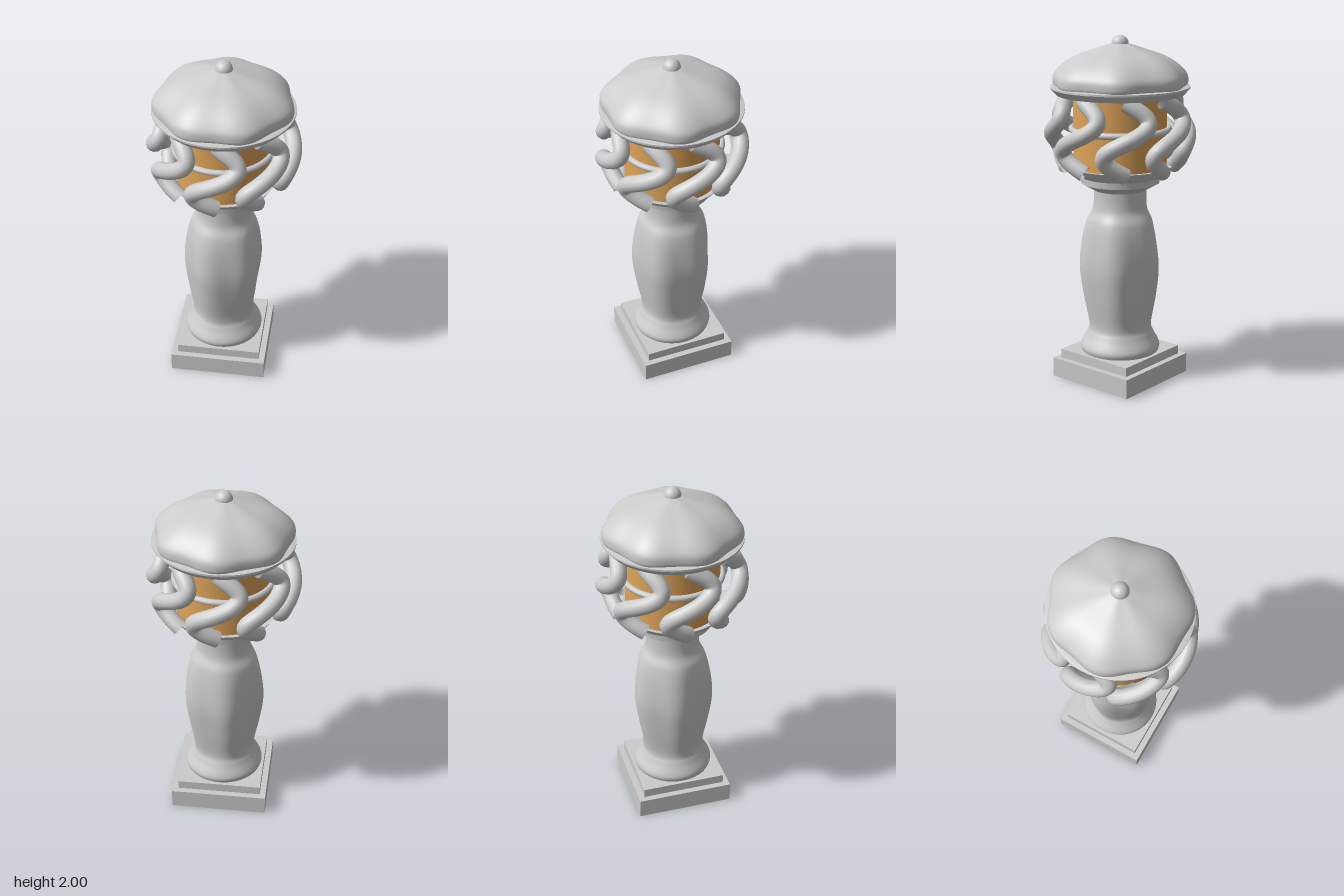
import * as THREE from 'three';
import { mergeVertices, toCreasedNormals } from 'three/addons/utils/BufferGeometryUtils.js';

const stone = new THREE.MeshStandardMaterial({ color: 0xcccccc, side: THREE.DoubleSide });
const glow = new THREE.MeshStandardMaterial({ color: 0xe0a55a });

function add(group, name, geometry, y = 0, material = stone) {
  const mesh = new THREE.Mesh(geometry, material);
  mesh.name = name;
  mesh.position.y = y;
  group.add(mesh);
  return mesh;
}

const points = (list) => list.map(([r, y]) => new THREE.Vector2(r, y));

// Sharp-edged turned part
const turned = (list) => toCreasedNormals(new THREE.LatheGeometry(points(list), 64), 0.5);

// Smooth turned part whose radius is scaled by lobe(angle, y)
function lobed(list, steps, lobe) {
  const profile = new THREE.SplineCurve(points(list)).getPoints(steps);
  let g = new THREE.LatheGeometry(profile, 112);
  const p = g.attributes.position;
  for (let i = 0; i < p.count; i++) {
    const x = p.getX(i), y = p.getY(i), z = p.getZ(i);
    const k = lobe(Math.atan2(x, z), y);
    p.setXYZ(i, x * k, y, z * k);
  }
  g.deleteAttribute('uv');
  g.deleteAttribute('normal');
  g = mergeVertices(g, 1e-5);
  g.computeVertexNormals();
  return g;
}

// Wavy bar that bulges outwards halfway down
class BarCurve extends THREE.Curve {
  getPoint(t, target = new THREE.Vector3()) {
    const a = 0.35 * Math.sin(2 * Math.PI * t);
    const r = 0.305 + 0.08 * Math.sin(Math.PI * t);
    return target.set(r * Math.sin(a), 1.66 - 0.4 * t, r * Math.cos(a));
  }
}

export function createModel() {
  const model = new THREE.Group();
  model.name = 'pedestalLantern';

  // Square plinth
  add(model, 'plinthLower', new THREE.BoxGeometry(0.56, 0.113, 0.56), 0.0565);
  add(model, 'plinthUpper', new THREE.BoxGeometry(0.49, 0.052, 0.49), 0.139);

  // Swelling column with five soft ridges
  add(model, 'column', lobed([
    [0.225, 0.165], [0.23, 0.2], [0.195, 0.27], [0.18, 0.33], [0.205, 0.5],
    [0.223, 0.67], [0.213, 0.82], [0.19, 0.94], [0.155, 1.02], [0.15, 1.14],
  ], 60, (a, y) => {
    const swell = Math.sin(Math.PI * THREE.MathUtils.clamp((y - 0.25) / 0.8, 0, 1));
    return 1 + 0.055 * swell * Math.cos(5 * (a + Math.PI / 2 + 0.07 + 0.5 * (y - 0.67)));
  }));

  // Capital and the tray under the lamp
  add(model, 'capital', turned([[0.15, 1.125], [0.175, 1.14], [0.225, 1.168], [0.228, 1.205], [0, 1.205]]));
  add(model, 'tray', turned([[0, 1.195], [0.22, 1.2], [0.275, 1.235], [0.295, 1.265], [0.275, 1.265], [0.255, 1.255], [0, 1.255]]));

  // Glowing core with a thin band
  add(model, 'lampCore', new THREE.CylinderGeometry(0.265, 0.265, 0.44, 48), 1.465, glow);
  const band = new THREE.TorusGeometry(0.275, 0.018, 10, 64);
  band.rotateX(Math.PI / 2);
  add(model, 'lampBand', band, 1.475);

  // Eight wavy bars around the core
  const bar = new THREE.TubeGeometry(new BarCurve(), 40, 0.046, 14);
  for (let i = 0; i < 8; i++) add(model, 'wavyBar', bar).rotation.y = i * Math.PI / 4;

  // Eave, seven-ribbed roof and finial
  add(model, 'eave', turned([[0, 1.672], [0.36, 1.672], [0.393, 1.708], [0.393, 1.718], [0.375, 1.722], [0, 1.722]]));
  add(model, 'roof', lobed([
    [0.37, 1.715], [0.377, 1.74], [0.368, 1.785], [0.315, 1.84], [0.24, 1.885], [0.13, 1.925], [0.04, 1.955], [0.001, 1.96],
  ], 40, (a) => 1 + 0.033 * Math.cos(7 * (a - Math.PI))));
  add(model, 'finial', new THREE.SphereGeometry(0.048, 24, 16), 1.952);

  return model;
}
